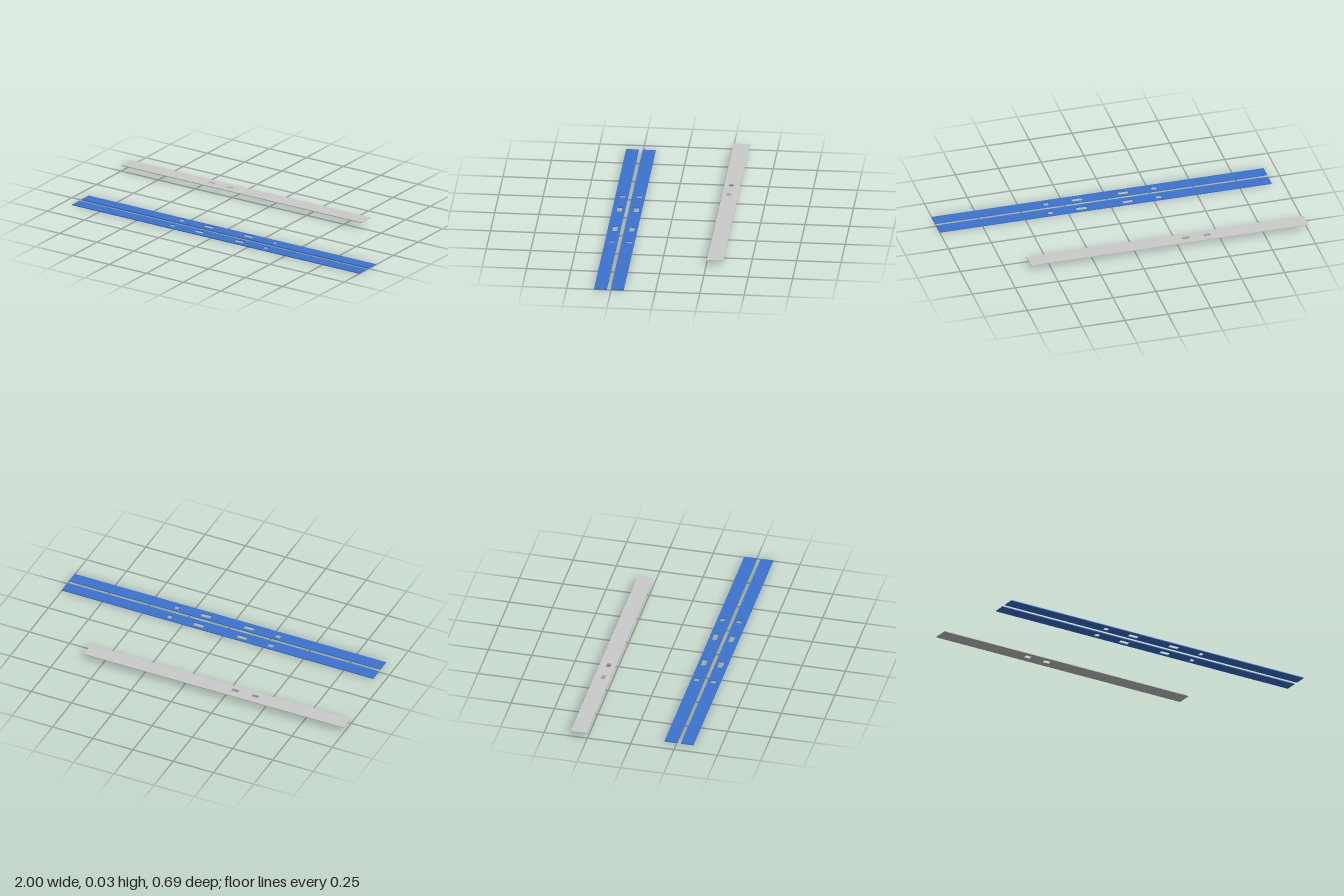
import * as THREE from 'three';

// Flat strip with rectangular slots; all ranges are [min, max] in x and z
function strip(name, [x0, x1], [z0, z1], y, thickness, slots, [s0, s1], color) {
  const rect = (path, a, b, c, d) =>
    path.moveTo(a, c).lineTo(b, c).lineTo(b, d).lineTo(a, d).closePath();
  const shape = rect(new THREE.Shape(), x0, x1, -z1, -z0);
  for (const [a, b] of slots) shape.holes.push(rect(new THREE.Path(), a, b, -s1, -s0));
  const geometry = new THREE.ExtrudeGeometry(shape, { depth: thickness, bevelEnabled: false });
  geometry.rotateX(-Math.PI / 2); // lay flat: shape y becomes -z, depth becomes height
  const mesh = new THREE.Mesh(geometry, new THREE.MeshStandardMaterial({ color }));
  mesh.name = name;
  mesh.position.y = y;
  return mesh;
}

export function createModel() {
  const model = new THREE.Group();
  model.name = 'slottedStrips';

  // Pair of long blue strips lying on the ground
  const slots = [[-0.299, -0.267], [-0.134, -0.073], [0.134, 0.196], [0.332, 0.359]];
  [['innerStrip', 0.179], ['outerStrip', 0.274]].forEach(([name, z]) => {
    model.add(strip(name, [-0.934, 1], [z, z + 0.072], 0, 0.005, slots,
      [z + 0.017, z + 0.046], 0x3b74d1));
  });

  // Shorter, wider grey strip raised behind them
  model.add(strip('rearStrip', [-1, 0.615], [-0.346, -0.254], 0.03, 0.0045,
    [[-0.444, -0.405], [-0.321, -0.278]], [-0.307, -0.281], 0xcccccc));

  return model;
}
